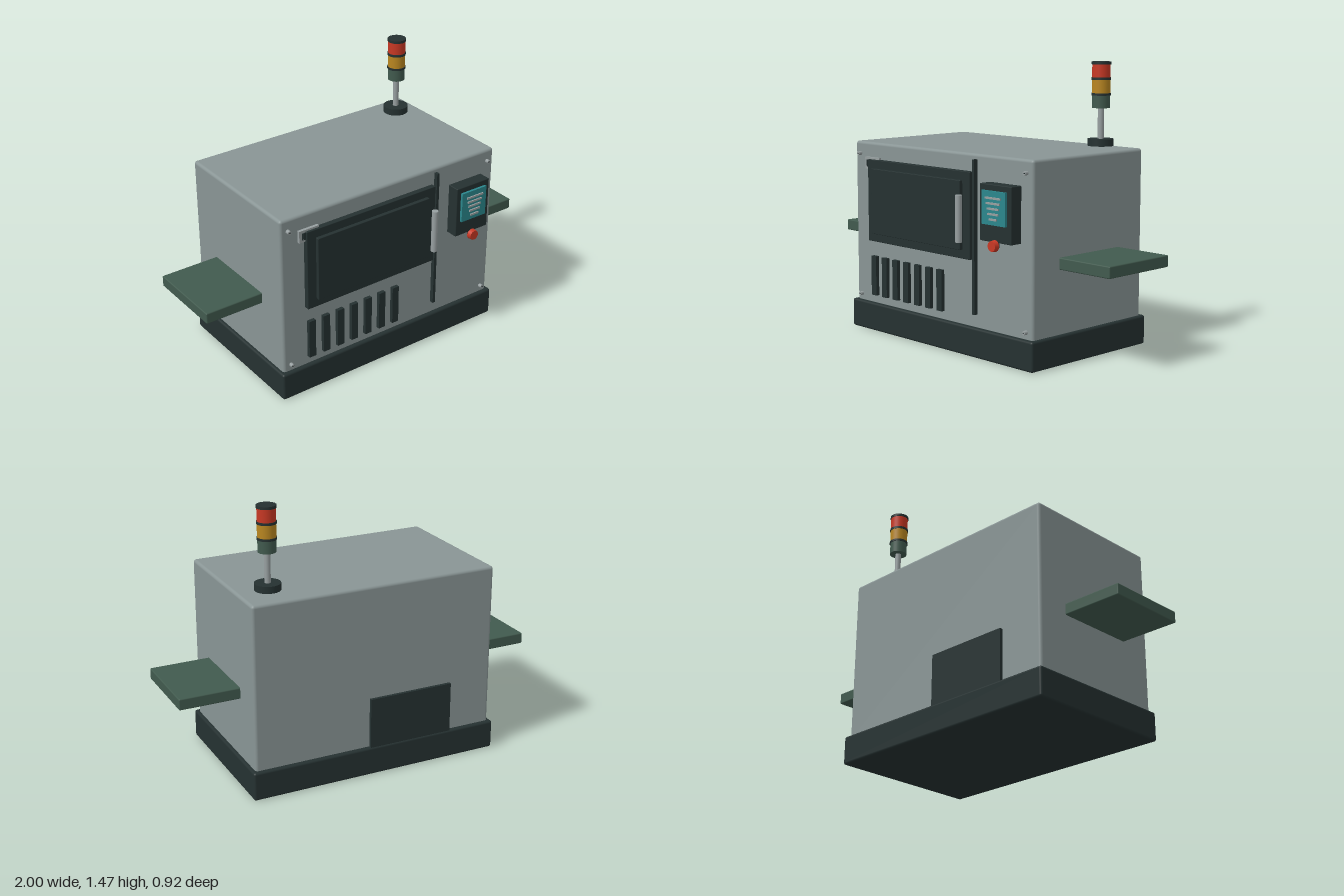
import * as THREE from 'three';
import { RoundedBoxGeometry } from 'three/addons/geometries/RoundedBoxGeometry.js';

export function createModel() {
  const model = new THREE.Group();
  model.name = 'industrialMachine';

  const mat = (name, color) => {
    const m = new THREE.MeshStandardMaterial({ color });
    m.name = name;
    return m;
  };
  const grey = mat('bodyGrey', 0x899595);
  const dark = mat('darkSlate', 0x253131);
  const green = mat('greenPaint', 0x415a4e);
  const metal = mat('lightMetal', 0x979fa0);
  const teal = mat('screenTeal', 0x2b878d);
  const red = mat('signalRed', 0xc83824);
  const amber = mat('signalAmber', 0xb98620);

  const add = (name, geometry, material, x, y, z, parent = model) => {
    const mesh = new THREE.Mesh(geometry, material);
    mesh.name = name;
    mesh.position.set(x, y, z);
    parent.add(mesh);
    return mesh;
  };
  // Box given by its limits on each axis, with optional rounded edges
  const box = (name, material, [x0, x1], [y0, y1], [z0, z1], r = 0, parent = model) => {
    const s = [x1 - x0, y1 - y0, z1 - z0];
    const g = r ? new RoundedBoxGeometry(...s, 3, r) : new THREE.BoxGeometry(...s);
    return add(name, g, material, (x0 + x1) / 2, (y0 + y1) / 2, (z0 + z1) / 2, parent);
  };
  // Upright cylinder between two heights
  const post = (name, material, r, y0, y1, x, z, parent = model) =>
    add(name, new THREE.CylinderGeometry(r, r, y1 - y0, 32), material, x, (y0 + y1) / 2, z, parent);
  // Cylinder pointing to the front
  const knob = (name, material, r0, r1, x, y, z0, z1) => {
    const g = new THREE.CylinderGeometry(r1, r0, z1 - z0, 24).rotateX(Math.PI / 2);
    return add(name, g, material, x, y, (z0 + z1) / 2);
  };

  // Plinth and cabinet
  box('base', dark, [-0.695, 0.695], [0, 0.153], [-0.457, 0.39], 0.012);
  box('cabinet', grey, [-0.677, 0.677], [0.13, 1.03], [-0.435, 0.367], 0.016);
  box('rearPanel', dark, [-0.43, 0.04], [0.14, 0.423], [-0.452, -0.43]);

  // Conveyor trays on both sides
  for (const s of [-1, 1]) {
    const xs = s > 0 ? [0.66, 1] : [-1, -0.66];
    box(s > 0 ? 'leftTray' : 'rightTray', green, xs, [0.478, 0.538], [-0.256, 0.184], 0.006);
  }

  // Door with raised window and handle
  box('door', dark, [-0.54, 0.263], [0.497, 0.94], [0.36, 0.395], 0.003);
  box('doorWindow', dark, [-0.488, 0.21], [0.543, 0.895], [0.39, 0.414], 0.003);
  post('doorHandle', metal, 0.017, 0.588, 0.826, 0.229, 0.438);

  // Seam strip, vents and corner screws
  box('seamStrip', dark, [0.275, 0.291], [0.22, 1.003], [0.36, 0.39]);
  for (let i = 0; i < 7; i++) {
    const x = -0.51 + i * 0.0885;
    box('vent', dark, [x - 0.02, x + 0.02], [0.197, 0.413], [0.36, 0.387]);
  }
  for (const x of [-0.633, 0.633]) for (const y of [0.188, 0.965]) {
    knob('screw', metal, 0.011, 0.01, x, y, 0.36, 0.387);
    box('screwSlot', dark, [x - 0.006, x + 0.006], [y - 0.0015, y + 0.0015], [0.386, 0.388]);
  }

  // Rating plate partly behind the door
  box('ratingPlate', metal, [-0.577, -0.46], [0.885, 0.95], [0.36, 0.383]);
  for (const [x, w] of [[-0.558, 0.006], [-0.545, 0.012]])
    box('plateMark', dark, [x - w / 2, x + w / 2], [0.898, 0.936], [0.38, 0.386]);

  // Control panel with screen, readout bars and stop button
  box('controlPanel', dark, [0.378, 0.596], [0.618, 0.9], [0.36, 0.434], 0.004);
  box('screen', teal, [0.404, 0.567], [0.704, 0.87], [0.43, 0.448]);
  [0.108, 0.094, 0.082, 0.07, 0.054].forEach((w, i) => {
    const y = 0.836 - i * 0.026;
    box('readoutBar', metal, [0.487 - w / 2, 0.487 + w / 2], [y - 0.005, y + 0.005], [0.446, 0.455]);
  });
  knob('buttonCollar', dark, 0.02, 0.02, 0.487, 0.603, 0.424, 0.438);
  knob('stopButton', red, 0.029, 0.026, 0.487, 0.603, 0.437, 0.461);

  // Signal tower
  const tower = new THREE.Group();
  tower.name = 'signalTower';
  tower.position.set(0.527, 0, -0.28);
  model.add(tower);
  const ring = (name, material, r, y0, y1) => post(name, material, r, y0, y1, 0, 0, tower);
  ring('towerFoot', dark, 0.067, 1.044, 1.08);
  ring('towerPole', metal, 0.016, 1.08, 1.24);
  ring('greenLamp', green, 0.046, 1.238, 1.302);
  ring('lowerRing', dark, 0.05, 1.302, 1.314);
  ring('amberLamp', amber, 0.047, 1.314, 1.381);
  ring('upperRing', dark, 0.05, 1.381, 1.394);
  ring('redLamp', red, 0.047, 1.394, 1.46);
  ring('towerCap', dark, 0.05, 1.46, 1.474);

  return model;
}
